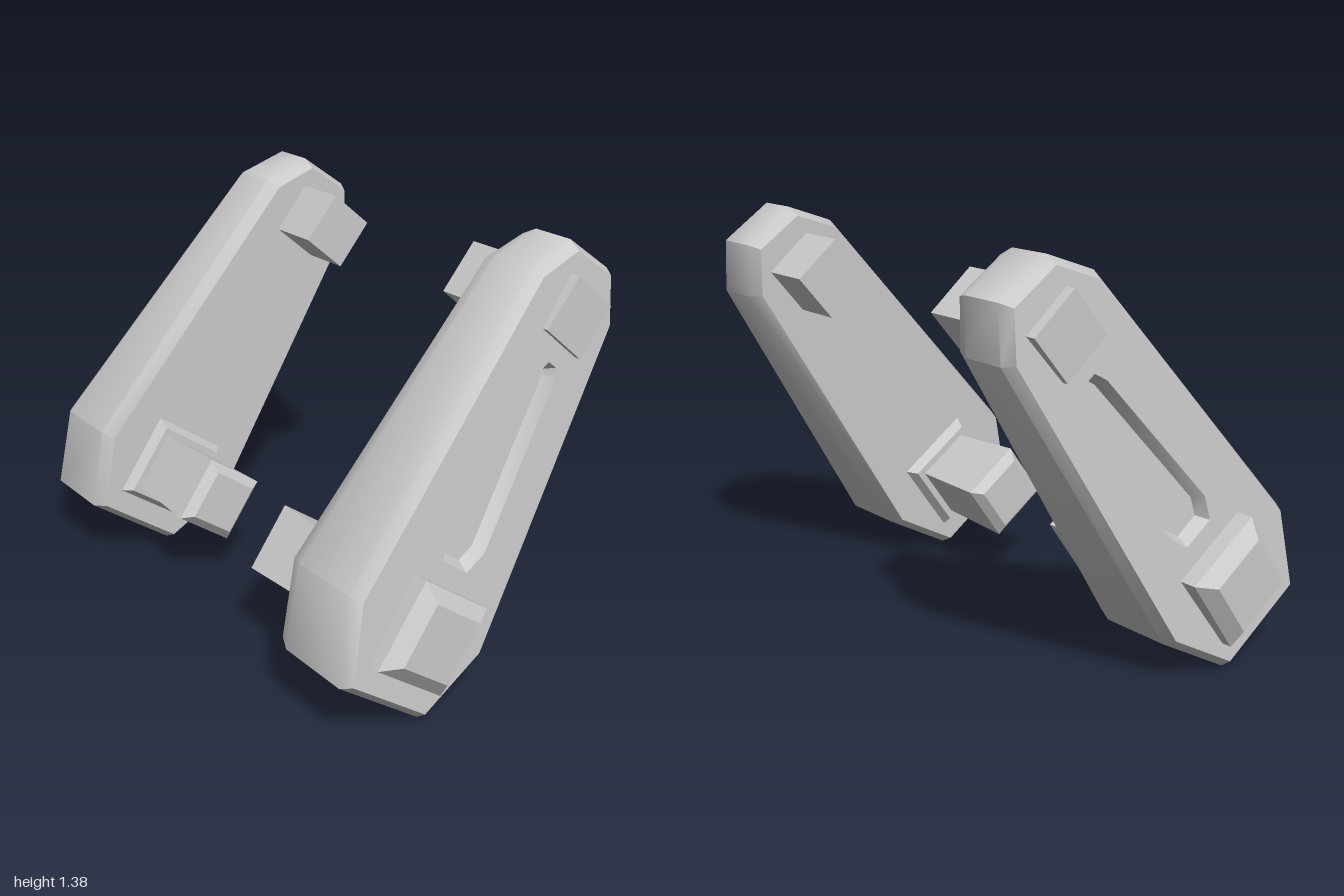
import * as THREE from 'three';
import { toCreasedNormals } from 'three/addons/utils/BufferGeometryUtils.js';

// Profiles are [u, y] pairs in the side plane, u = -z, counter-clockwise seen from +x.
const OUTLINE = [
  [-0.27, 0.005], [-0.02, 0.14], [0.56, 1.09], [0.56, 1.27],
  [0.39, 1.39], [0.22, 1.33], [-0.52, 0.5], [-0.57, 0.22],
];
const SLOT = [
  [-0.09, 0.45], [-0.015, 0.49], [0.29, 0.975], [0.293, 1.015],
  [0.26, 1.04], [0.215, 1.015], [-0.165, 0.6], [-0.185, 0.52],
];
const LEAN = [0.58, 0.81]; // long direction of the arm

// Outer face tapers inwards along the arm
const faceX = ([u, y]) => 0.93 - 0.08 * (u * LEAN[0] + y * LEAN[1] + 0.15);

// Mitred inward offset of a convex profile
function inset(points, d) {
  const n = points.length;
  const normal = (a, b) => new THREE.Vector2(a[1] - b[1], b[0] - a[0]).normalize();
  return points.map((p, i) => {
    const n1 = normal(points[(i + n - 1) % n], p);
    const n2 = normal(p, points[(i + 1) % n]);
    const k = d / (1 + n1.dot(n2));
    return [p[0] + (n1.x + n2.x) * k, p[1] + (n1.y + n2.y) * k];
  });
}

const ring = (points, x) =>
  points.map((p) => new THREE.Vector3(typeof x === 'function' ? x(p) : x, p[1], -p[0]));

// Collects triangles, mirrored for side = -1
function builder(side) {
  const data = [];
  const tri = (a, b, c) => {
    for (const v of side > 0 ? [a, b, c] : [a, c, b]) data.push(v.x * side, v.y, v.z);
  };
  return {
    // Skin from one ring to the next, in the direction of +x
    band(a, b) {
      a.forEach((p, i) => {
        const j = (i + 1) % a.length;
        tri(p, a[j], b[j]);
        tri(p, b[j], b[i]);
      });
    },
    // Flat cover, with an optional hole
    cap(outer, outward, hole = []) {
      const flat = (r) => r.map((v) => new THREE.Vector2(-v.z, v.y));
      const all = [...outer, ...hole];
      const faces = THREE.ShapeUtils.triangulateShape(flat(outer), hole.length ? [flat(hole)] : []);
      for (const [a, b, c] of faces) {
        const [p, q, r] = flat([all[a], all[b], all[c]]);
        const ccw = q.sub(p).cross(r.sub(p)) > 0;
        if (ccw === outward) tri(all[a], all[b], all[c]);
        else tri(all[a], all[c], all[b]);
      }
    },
    mesh(name, crease) {
      const g = new THREE.BufferGeometry();
      g.setAttribute('position', new THREE.Float32BufferAttribute(data, 3));
      g.computeVertexNormals();
      const m = new THREE.Mesh(toCreasedNormals(g, crease), new THREE.MeshStandardMaterial({ color: 0xcccccc }));
      m.name = name;
      return m;
    },
  };
}

// Tapered arm plate with chamfered rims and a recessed slot
function armPlate(side) {
  const b = builder(side);
  const small = inset(OUTLINE, 0.024);
  const rings = [
    ring(small, 0.565),
    ring(OUTLINE, 0.62),
    ring(OUTLINE, (p) => faceX(p) - 0.04),
    ring(small, faceX),
  ];
  for (let i = 0; i < 3; i++) b.band(rings[i], rings[i + 1]);
  const rim = ring(SLOT, faceX);
  const floor = ring(inset(SLOT, 0.022), (p) => faceX(p) - 0.04);
  b.cap(rings[0], false);
  b.cap(rings[3], true, rim);
  b.band(rim, floor);
  b.cap(floor, true);
  return b.mesh('armPlate', 0.6);
}

// Square bar along x, built from [x, half width] sections ordered by x
function squareBar(name, side, u, y, angle, sections) {
  const b = builder(side);
  const rings = sections.map(([x, h]) => {
    const square = [0, 1, 2, 3].map((k) => {
      const t = angle + Math.PI / 4 + (k * Math.PI) / 2;
      return [u + Math.SQRT2 * h * Math.cos(t), y + Math.SQRT2 * h * Math.sin(t)];
    });
    return ring(square, x);
  });
  for (let i = 0; i + 1 < rings.length; i++) b.band(rings[i], rings[i + 1]);
  b.cap(rings[0], false);
  b.cap(rings[rings.length - 1], true);
  return b.mesh(name, 0.1);
}

export function createModel() {
  const model = new THREE.Group();
  model.name = 'armPair';
  const tilt = Math.atan2(LEAN[1], LEAN[0]);
  for (const side of [1, -1]) {
    const arm = new THREE.Group();
    arm.name = side > 0 ? 'leftArm' : 'rightArm';
    arm.add(
      armPlate(side),
      // Lower pivot: flared pin, collar on the inner face, bevelled cap outside
      squareBar('lowerPin', side, -0.27, 0.312, tilt, [[0.195, 0.088], [0.225, 0.117], [0.54, 0.106]]),
      squareBar('lowerCollar', side, -0.27, 0.312, tilt, [[0.53, 0.13], [0.565, 0.15], [0.6, 0.15]]),
      squareBar('lowerCap', side, -0.27, 0.312, tilt, [[0.85, 0.15], [0.957, 0.15], [1, 0.105]]),
      // Upper peg passing through the plate
      squareBar('upperPeg', side, 0.365, 1.165, 0.87, [[0.375, 0.096], [0.855, 0.096]]),
    );
    model.add(arm);
  }
  return model;
}
